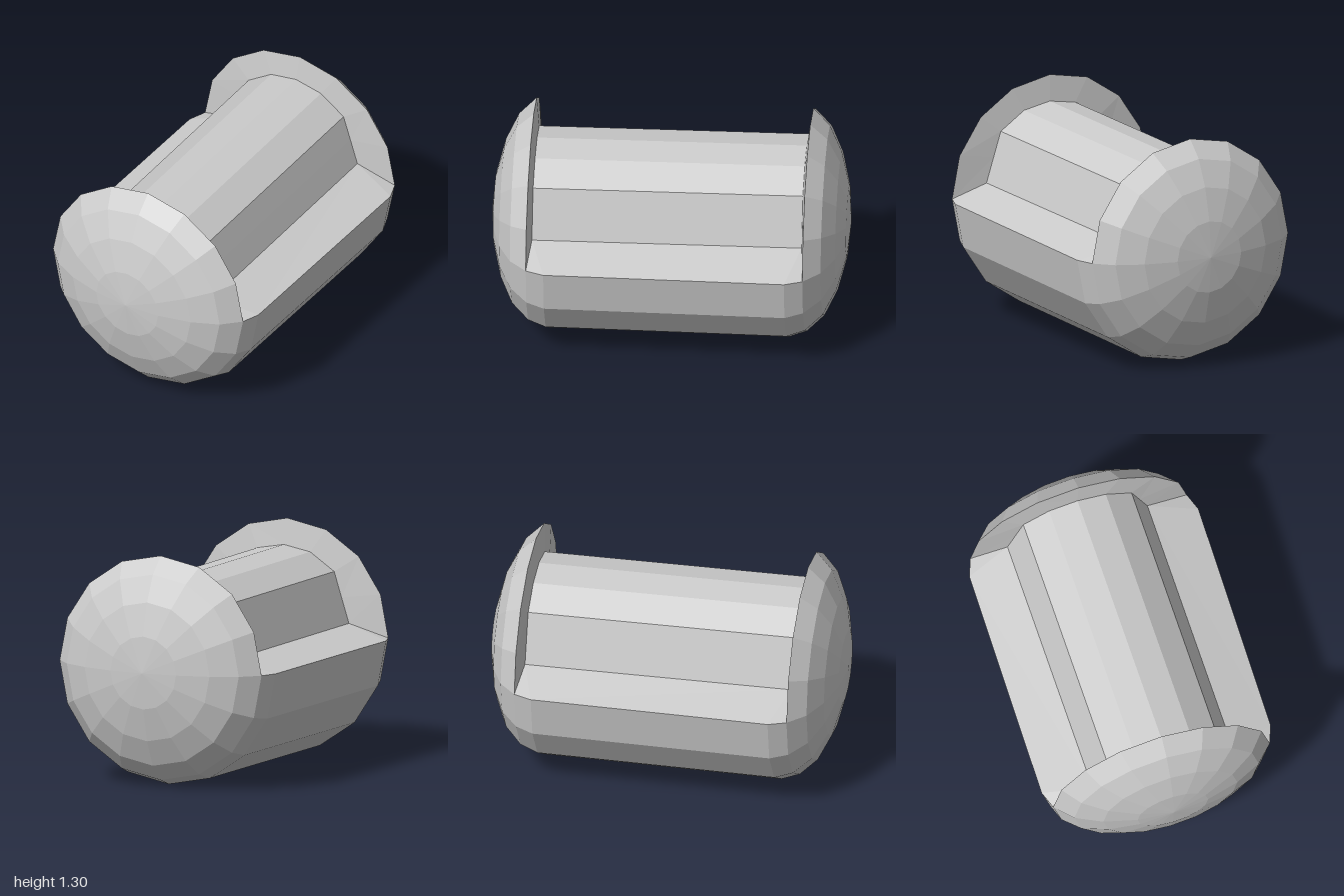
import * as THREE from 'three';

const CY = 0.667;                       // height of the capsule axis
const SIDES = 16;
// half profile of a rounded end: [radius, z]
const END = [[0.667, 0.67], [0.63, 0.77], [0.537, 0.865], [0.39, 0.935], [0.205, 0.982], [0, 1]];

const material = new THREE.MeshStandardMaterial({ color: 0xcccccc, flatShading: true, side: THREE.DoubleSide });

// surface turned about the z axis, half a turn starting at angle phi
function halfTurn(name, profile, phi) {
  const pts = profile.map(([r, z]) => new THREE.Vector2(r, z));
  const geo = new THREE.LatheGeometry(pts, SIDES / 2, phi, Math.PI);
  geo.rotateX(Math.PI / 2).translate(0, CY, 0);
  const mesh = new THREE.Mesh(geo, material);
  mesh.name = name;
  return mesh;
}

// mesh from a list of triangles and quads
function facets(name, faces) {
  const pos = [];
  for (const f of faces)
    for (let i = 1; i < f.length - 1; i++) pos.push(...f[0], ...f[i], ...f[i + 1]);
  const geo = new THREE.BufferGeometry();
  geo.setAttribute('position', new THREE.Float32BufferAttribute(pos, 3));
  geo.computeVertexNormals();
  const mesh = new THREE.Mesh(geo, material);
  mesh.name = name;
  return mesh;
}

export function createModel() {
  const group = new THREE.Group();
  group.name = 'capsule';
  const backEnd = END.map(([r, z]) => [r, -z]).reverse();

  // full lower shell, and the two raised domes above it
  group.add(halfTurn('lowerShell', [...backEnd, ...END], -Math.PI / 2));
  group.add(halfTurn('frontDome', END.slice(1), Math.PI / 2));
  group.add(halfTurn('backDome', backEnd.slice(0, -1), Math.PI / 2));

  // cross-section of the inner core, right half up to the top, then mirrored
  const half = [[0.407, 0.735], [0.361, 0.878], [0.315, 1.02], [0.165, 1.12]];
  const section = [...half, [0, 1.15], ...half.map(([x, y]) => [-x, y]).reverse()];
  // the core is skewed slightly from end to end
  const core = s => section.map(([x, y]) => [x + 0.0125 * s, y, 0.75 * s]);
  const rim = s => section.map((_, i) => {
    const a = (i * 2 * Math.PI) / SIDES;
    return [0.63 * Math.cos(a), CY + 0.63 * Math.sin(a), 0.77 * s];
  });
  const edge = (side, s) => [0.667 * side, CY, 0.67 * s];

  // core with the sloping ledges on both sides
  const front = [edge(1, 1), ...core(1), edge(-1, 1)];
  const back = [edge(1, -1), ...core(-1), edge(-1, -1)];
  const coreFaces = [], ledgeFaces = [];
  for (let i = 0; i < front.length - 1; i++) {
    const isLedge = i === 0 || i === front.length - 2;
    (isLedge ? ledgeFaces : coreFaces).push([front[i], back[i], back[i + 1], front[i + 1]]);
  }
  group.add(facets('innerCore', coreFaces));

  // inner walls of the domes and the ledge corners
  for (const s of [1, -1]) {
    const r = rim(s), c = core(s), wall = [];
    const turn = f => (s > 0 ? f : f.reverse());
    for (let i = 0; i < 8; i++) wall.push(turn([r[i], c[i], c[i + 1], r[i + 1]]));
    group.add(facets(s > 0 ? 'frontWall' : 'backWall', wall));
    ledgeFaces.push(turn([r[0], edge(1, s), c[0]]));
    ledgeFaces.push(turn([r[8], c[8], edge(-1, s)]));
  }
  group.add(facets('sideLedges', ledgeFaces));
  return group;
}
